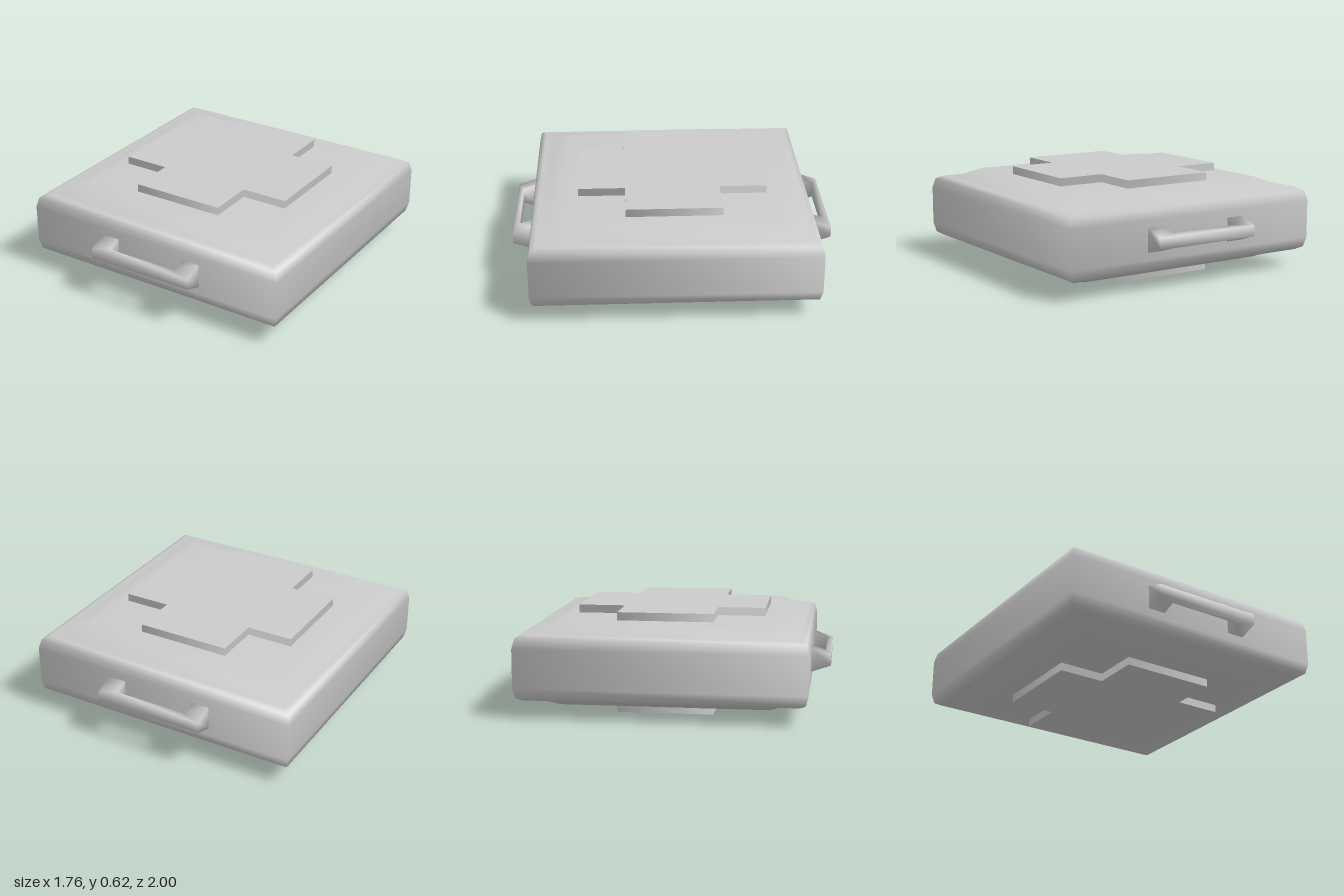
import * as THREE from 'three';
import { mergeVertices } from 'three/addons/utils/BufferGeometryUtils.js';

const MID = 0.31; // mid height of the case

// Extrude an (x, z) outline upward, centred on y = 0
function slab(points, height) {
  const shape = new THREE.Shape(points.map(([x, z]) => new THREE.Vector2(x, z)));
  const geo = new THREE.ExtrudeGeometry(shape, { depth: height, bevelEnabled: false });
  return geo.rotateX(Math.PI / 2).translate(0, height / 2, 0);
}

// Square case: a four-sided lathe with softened rims and sloped lids
function bodyGeometry() {
  const upper = [[0.88, 0.12], [0.865, 0.18], [0.83, 0.2], [0.765, 0.2], [0.64, 0.26], [0, 0.26]];
  const lower = upper.map(([r, y]) => [r, -y]).reverse();
  const profile = [...lower, ...upper].map(([r, y]) => new THREE.Vector2(r, y));
  return new THREE.LatheGeometry(profile, 4, Math.PI / 4).scale(Math.SQRT2, 1, Math.SQRT2);
}

// Cross plate: flat caps, side walls shaded smoothly around the outline
function crossGeometry() {
  const a = 0.295, b = 0.587;
  const geo = slab([[-a, -b], [a, -b], [a, -a], [b, -a], [b, a], [a, a],
    [a, b], [-a, b], [-a, a], [-b, a], [-b, -a], [-a, -a]], 0.06);
  const p = geo.attributes.position, n = geo.attributes.normal;
  for (let i = 0; i < p.count; i++) {
    if (Math.abs(n.getY(i)) > 0.5) continue;
    n.setXYZ(i, Math.sign(p.getX(i)) * Math.SQRT1_2, 0, Math.sign(p.getZ(i)) * Math.SQRT1_2);
  }
  return geo;
}

// U-shaped grip whose height tapers away from the case
function handleGeometry() {
  const o = 0.35, i = 0.237, root = 0.87, bar = 0.965, tip = 1;
  let geo = slab([[-o, root], [-i, root], [-i, bar], [i, bar], [i, root], [o, root], [o, tip], [-o, tip]], 1);
  const p = geo.attributes.position;
  for (let k = 0; k < p.count; k++) {
    const t = (p.getZ(k) - 0.88) / 0.12;
    p.setY(k, p.getY(k) * THREE.MathUtils.lerp(0.148, 0.066, t));
  }
  geo.deleteAttribute('uv');
  geo.deleteAttribute('normal');
  geo = mergeVertices(geo);
  geo.computeVertexNormals();
  return geo;
}

export function createModel() {
  const model = new THREE.Group();
  model.name = 'medicalCase';
  const material = new THREE.MeshStandardMaterial({ color: 0xcccccc });
  const add = (name, geometry, y) => {
    const mesh = new THREE.Mesh(geometry, material);
    mesh.name = name;
    mesh.position.y = y;
    model.add(mesh);
    return mesh;
  };

  add('caseBody', bodyGeometry(), MID);

  // Raised crosses on both lids
  const cross = crossGeometry();
  add('topCross', cross, 0.59);
  add('bottomCross', cross, 0.03);

  // Matching handles front and back
  const handle = handleGeometry();
  add('frontHandle', handle, MID);
  add('backHandle', handle, MID).rotation.y = Math.PI;

  return model;
}
